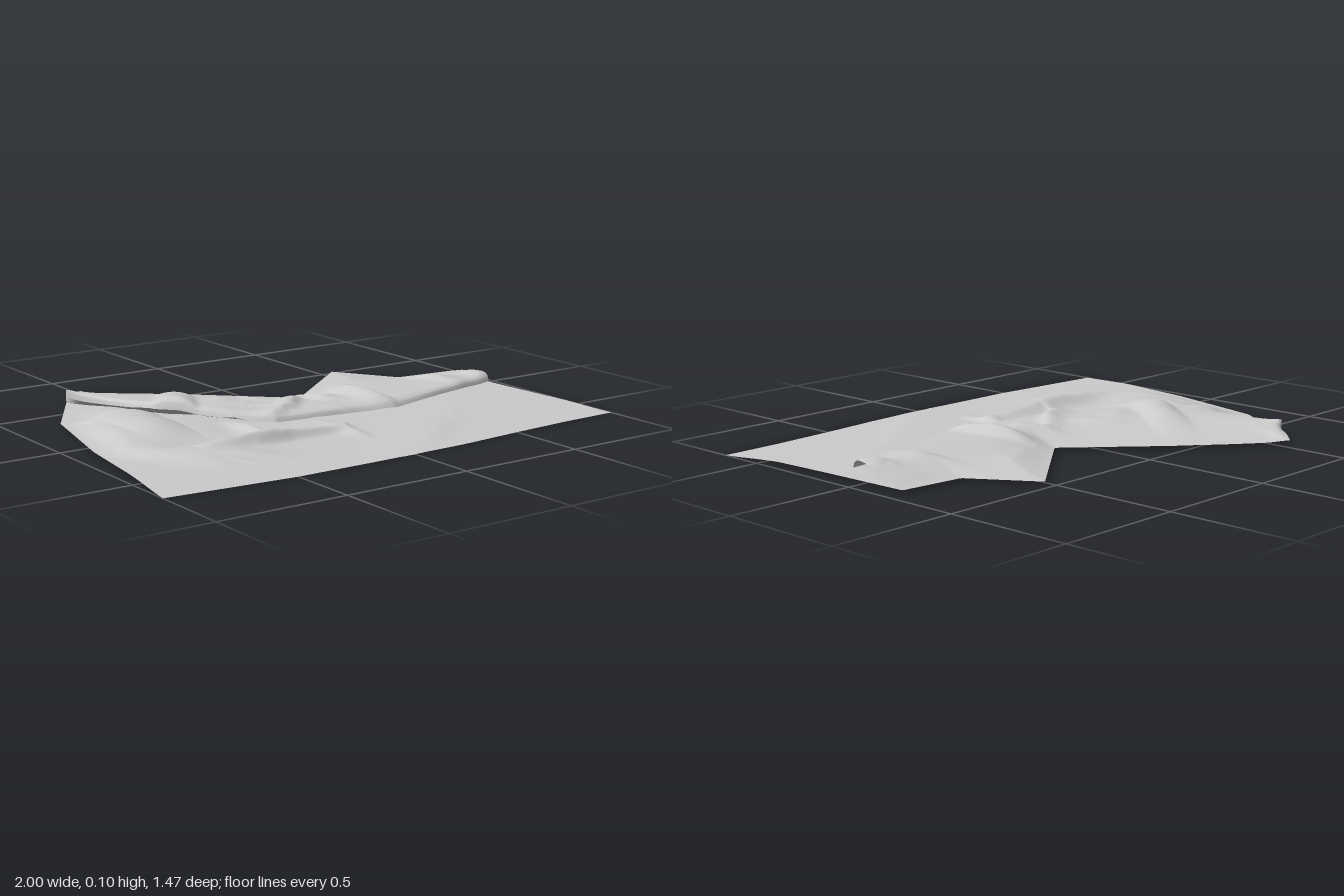
import * as THREE from 'three';

const { smoothstep, clamp, lerp } = THREE.MathUtils;

// Ridge of height a along x0,z0 - x1,z1, width w on its steep side, fading to both ends
function ridge(x, z, [x0, z0, x1, z1, a, w]) {
  const dx = x1 - x0, dz = z1 - z0;
  const t = clamp(((x - x0) * dx + (z - z0) * dz) / (dx * dx + dz * dz), 0, 1);
  const steep = dx * (z - z0) - dz * (x - x0) > 0;
  const d = Math.hypot(x - x0 - t * dx, z - z0 - t * dz) / (steep ? w : 2 * w);
  return a * (1 - 0.6 * (2 * t - 1) ** 2) * Math.exp(-d * d);
}
const sumRidges = (list, x, z) => list.reduce((s, r) => s + ridge(x, z, r), 0);

// Wrinkles of the front part: x0, z0, x1, z1, height, width
const lowerFolds = [
  [-0.72, -0.08, -0.5, -0.08, 0.03, 0.17],
  [-0.85, 0.04, -0.5, 0.06, 0.024, 0.12],
  [-0.87, 0.14, -0.62, 0.44, 0.024, 0.06],
  [-0.65, 0.35, -0.42, 0.5, 0.014, 0.04],
  [-0.6, 0.32, -0.3, 0.345, 0.038, 0.028],
  [-0.4, 0.345, -0.02, 0.34, 0.03, 0.025],
  [-0.31, 0.28, -0.31, 0.06, 0.024, 0.02],
  [-0.01, 0.45, -0.01, 0.22, 0.014, 0.02],
  [-0.8, -0.28, -0.52, -0.17, 0.02, 0.025],
  [0.05, 0.66, 0.42, 0.42, 0.009, 0.06],
  [0.4, 0.3, 0.9, 0.27, 0.007, 0.06],
];
// Wrinkles of the raised back part
const upperFolds = [
  [-0.52, -0.16, -0.38, -0.08, 0.045, 0.17],
  [-0.54, -0.2, -0.47, -0.12, 0.012, 0.035],
  [-0.3, -0.1, -0.18, -0.14, 0.01, 0.03],
  [-0.18, -0.14, -0.09, -0.02, 0.013, 0.03],
  [-0.22, 0.14, -0.08, 0.09, 0.016, 0.025],
  [-0.1, 0.1, 0.04, -0.04, 0.02, 0.025],
  [0.04, -0.06, 0.12, 0.08, 0.024, 0.025],
  [0.29, 0.2, 0.2, -0.12, 0.034, 0.028],
  [0.28, -0.16, 0.5, -0.28, 0.012, 0.04],
  [0.62, -0.14, 0.71, 0.1, 0.017, 0.03],
  [0.76, -0.16, 0.91, -0.11, 0.014, 0.025],
  [0.82, 0, 0.88, 0.09, 0.016, 0.03],
];
// Curled tip of the left back corner
const tipCurl = [-0.64, -0.62, -0.53, -0.72, 0.015, 0.05];

// Front part lies flat at the hem and the side edges (u runs from side to side)
const lowerHeight = (x, z, u) =>
  0.012 * smoothstep(-z, -0.72, -0.4) + sumRidges(lowerFolds, x, z) * smoothstep(Math.min(u, 1 - u), 0, 0.12);
// Back part climbs from the ground as rise goes from 0 to 1
const upperHeight = (x, z, rise) =>
  0.012 + ridge(x, z, tipCurl) + rise * (0.043 + sumRidges(upperFolds, x, z));

// Height between the two layers, f = 0 on the front part and 1 on the back part
const between = (x, z, u, rise, f) => lerp(lowerHeight(x, z, u), upperHeight(x, z, rise), f);
const LIP = 0.4;

// Point on a polyline of evenly weighted columns
function along(row, u) {
  const s = u * (row.length - 1), i = Math.min(Math.floor(s), row.length - 2), f = s - i;
  return [0, 1].map(k => lerp(row[i][k], row[i + 1][k], f));
}

// Sheet lofted through plan polylines; height(x, z, u, v) with u across and v front to back
function sheet(name, rows, steps, height, material) {
  const cols = 180, n = (rows.length - 1) * steps, pos = [], index = [];
  for (let i = 0; i <= n; i++) {
    const k = Math.min(Math.floor(i / steps), rows.length - 2), f = i / steps - k;
    for (let j = 0; j <= cols; j++) {
      const a = along(rows[k], j / cols), b = along(rows[k + 1], j / cols);
      const x = lerp(a[0], b[0], f), z = lerp(a[1], b[1], f);
      pos.push(x, height(x, z, j / cols, i / n), z);
      if (i < n && j < cols) {
        const p = i * (cols + 1) + j, q = p + cols + 1;
        index.push(p, p + 1, q, p + 1, q + 1, q);
      }
    }
  }
  const g = new THREE.BufferGeometry();
  g.setAttribute('position', new THREE.Float32BufferAttribute(pos, 3));
  g.setIndex(index);
  g.computeVertexNormals();
  const mesh = new THREE.Mesh(g, material);
  mesh.name = name;
  return mesh;
}

export function createModel() {
  const group = new THREE.Group();
  group.name = 'crumpledCloth';
  const material = new THREE.MeshStandardMaterial({ color: 0xcccccc, side: THREE.DoubleSide });

  // Plan lines from the front hem to the back corners, each as x, z
  const hem = [[-1, 0.69], [-0.75, 0.71], [-0.5, 0.73], [-0.25, 0.73], [0, 0.73], [0.25, 0.72], [0.5, 0.7], [0.75, 0.685], [1, 0.68]];
  const middle = [[-0.92, 0.1], [-0.8, 0.2], [-0.63, 0.28], [-0.45, 0.36], [-0.22, 0.42], [0.07, 0.45], [0.35, 0.45], [0.65, 0.42], [0.965, 0.42]];
  const beforePleat = [[-0.82, -0.33], [-0.7, -0.2], [-0.57, -0.04], [-0.4, 0.13], [-0.22, 0.25], [0.05, 0.28], [0.32, 0.3], [0.62, 0.24], [0.95, 0.16]];
  const underPleat = [[-0.64, -0.62], [-0.53, -0.39], [-0.45, -0.19], [-0.25, 0], [-0.15, 0.1], [0.06, 0.12], [0.3, 0.15], [0.6, 0.07], [0.935, -0.2]];
  const crease = [[-0.64, -0.62], [-0.59, -0.38], [-0.52, -0.17], [-0.32, 0.06], [-0.2, 0.17], [0.06, 0.2], [0.3, 0.24], [0.6, 0.16], [0.89, 0.1]];
  const backEdge = [[-0.64, -0.62], [-0.53, -0.74], [-0.36, -0.61], [-0.18, -0.46], [0, -0.29], [0.14, -0.16], [0.53, -0.475], [0.69, -0.23], [0.935, -0.205]];

  // Front part on the ground, pleat doubling back, raised back part with a rolled lip
  group.add(sheet('frontCloth', [hem, middle, beforePleat, underPleat], 34, lowerHeight, material));
  group.add(sheet('pleat', [underPleat, crease], 10, (x, z, u, v) => between(x, z, u, 1, LIP * v), material));
  group.add(sheet('backCloth', [crease, backEdge], 70, (x, z, u, v) => {
    const roll = Math.sqrt(1 - (1 - Math.min(v / 0.1, 1)) ** 2);
    return between(x, z, u, smoothstep(1 - v, -0.1, 0.7), lerp(LIP, 1, roll));
  }, material));
  return group;
}
